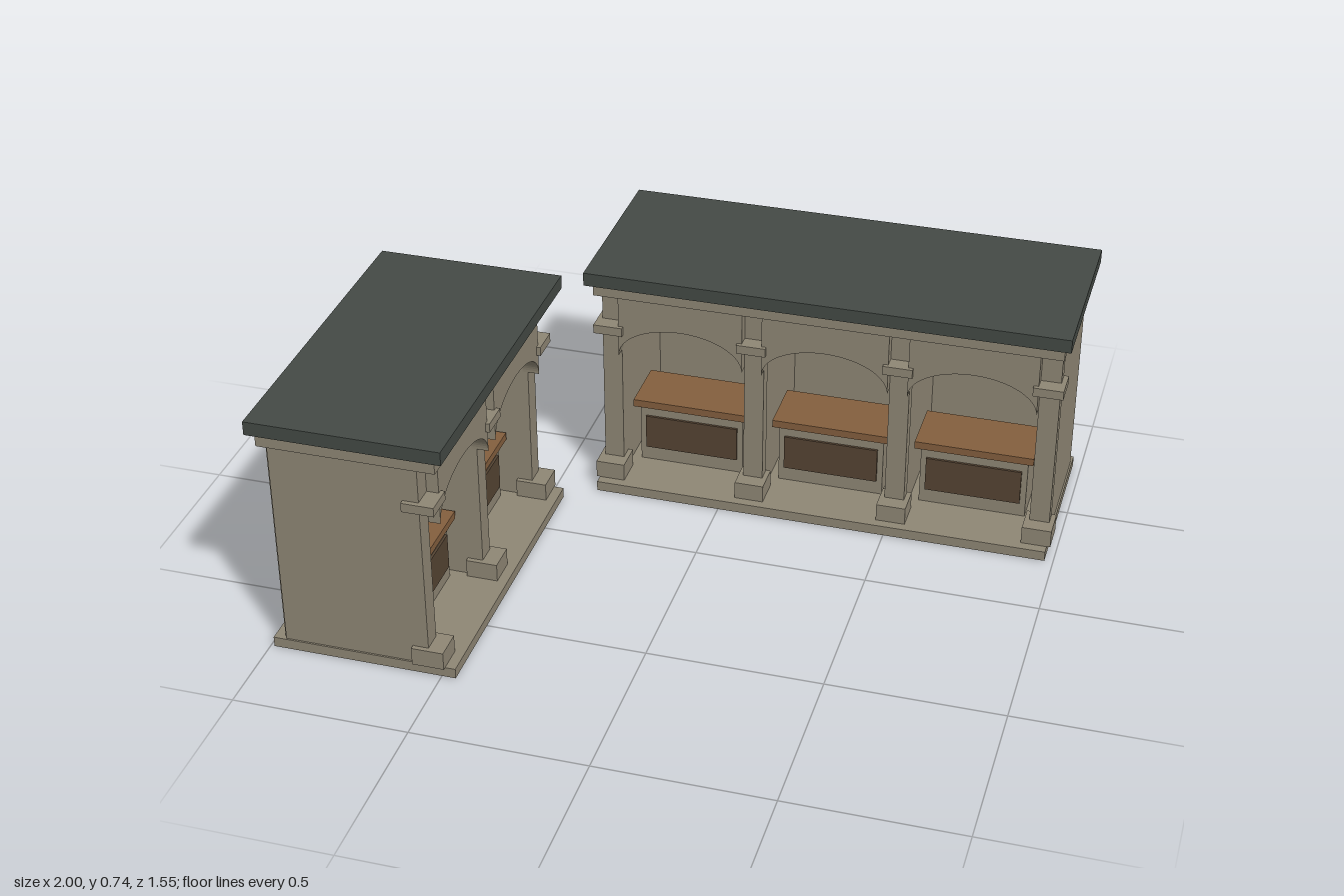
import * as THREE from 'three';

const stone = new THREE.MeshStandardMaterial({ color: 0x8f8775 });
stone.name = 'stone';
const slate = new THREE.MeshStandardMaterial({ color: 0x444a45 });
slate.name = 'slate roof';
const wood = new THREE.MeshStandardMaterial({ color: 0x845f3e });
wood.name = 'counter wood';
const darkWood = new THREE.MeshStandardMaterial({ color: 0x554433 });
darkWood.name = 'dark panel';

const BAY = 0.428;    // spacing of the piers
const PIER = 0.058;   // pier width
const FLOOR = 0.03, EAVES = 0.655;

// Box given by its x, y and z ranges
function box(parent, name, material, [x0, x1], [y0, y1], [z0, z1]) {
  const mesh = new THREE.Mesh(new THREE.BoxGeometry(x1 - x0, y1 - y0, z1 - z0), material);
  mesh.position.set((x0 + x1) / 2, (y0 + y1) / 2, (z0 + z1) / 2);
  mesh.name = name;
  parent.add(mesh);
}

const around = (c, w) => [c - w / 2, c + w / 2];

// Panel with an arched underside, spanning one bay
function archPanel(width) {
  const spring = 0.455, rise = 0.102, h = width / 2;
  const shape = new THREE.Shape();
  shape.moveTo(h, EAVES);
  shape.lineTo(-h, EAVES);
  shape.lineTo(-h, spring);
  shape.absellipse(0, spring, h, rise, Math.PI, 0, true);
  shape.closePath();
  const geo = new THREE.ExtrudeGeometry(shape, { depth: 0.05, bevelEnabled: false, curveSegments: 20 });
  const mesh = new THREE.Mesh(geo, stone);
  mesh.name = 'archPanel';
  return mesh;
}

// Row of open stalls facing +z
function arcade(bays, name) {
  const g = new THREE.Group();
  g.name = name;
  const half = bays * BAY / 2;
  const wide = (extra) => [-half - extra, half + extra];

  box(g, 'plinth', stone, wide(0.033), [0, FLOOR], [-0.262, 0.267]);
  box(g, 'cornice', stone, wide(0.038), [EAVES, 0.688], [-0.252, 0.246]);
  box(g, 'roofSlab', slate, wide(0.058), [0.698, 0.738], [-0.2725, 0.2725]);
  box(g, 'backWall', stone, wide(0.018), [FLOOR, EAVES], [-0.233, -0.195]);

  // Piers with base blocks and capitals, and the walls behind them
  for (let i = 0; i <= bays; i++) {
    const x = -half + i * BAY;
    const wall = i === 0 || i === bays ? 'sideWall' : 'partition';
    box(g, wall, stone, around(x, PIER - 0.002), [FLOOR, EAVES], [-0.226, 0.16]);
    box(g, 'pier', stone, around(x, PIER), [FLOOR, EAVES], [0.15, 0.192]);
    box(g, 'pierBase', stone, around(x, 0.086), [FLOOR, 0.083], [0.147, 0.238]);
    box(g, 'capital', stone, around(x, 0.086), [0.525, 0.552], [0.147, 0.238]);
  }

  // Arch and counter of each bay
  for (let i = 0; i < bays; i++) {
    const x = -half + (i + 0.5) * BAY;
    const arch = archPanel(BAY - PIER);
    arch.position.set(x, 0, 0.176);
    g.add(arch);
    box(g, 'counterBody', stone, around(x, 0.316), [FLOOR, 0.22], [-0.04, 0.1]);
    box(g, 'counterPanel', darkWood, around(x, 0.282), [0.075, 0.183], [0.1, 0.107]);
    box(g, 'counterTop', wood, around(x, 0.35), [0.22, 0.243], [-0.06, 0.12]);
  }
  return g;
}

export function createModel() {
  const model = new THREE.Group();
  model.name = 'marketArcades';

  const long = arcade(3, 'longArcade');
  long.position.set(0.3, 0, -0.5025);

  const short = arcade(2, 'shortArcade');
  short.rotation.y = Math.PI / 2;
  short.position.set(-0.7275, 0, 0.287);

  model.add(long, short);
  return model;
}
